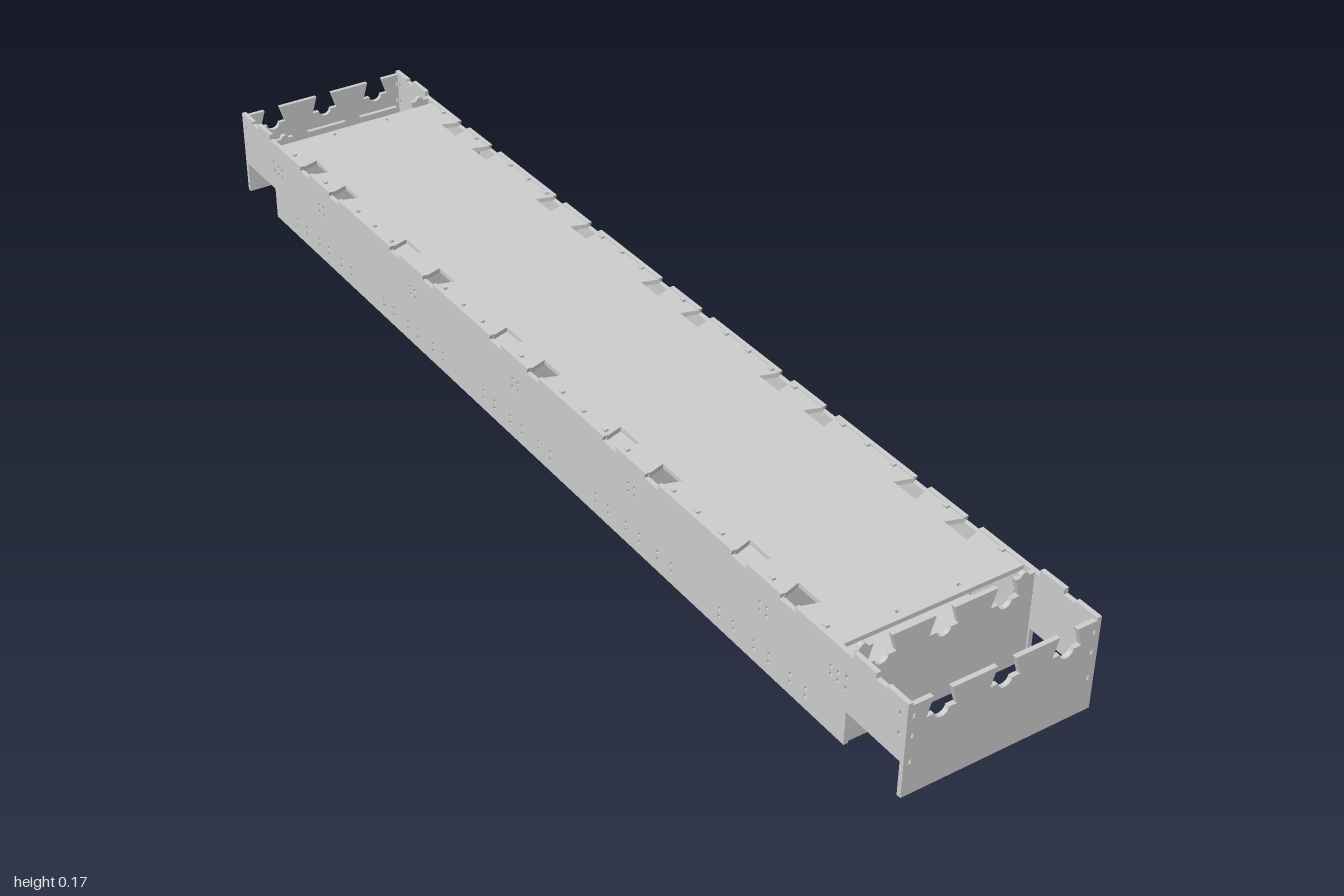
import * as THREE from 'three';
import { mergeGeometries } from 'three/addons/utils/BufferGeometryUtils.js';

const T = 0.008;            // sheet thickness
const W = 0.169;            // half width
const TOP = 0.16;
const SLOTS = [-0.74, -0.627, -0.4, -0.284, -0.061, 0.056, 0.279, 0.395, 0.618, 0.735];
const RIBS = [-0.68, -0.34, 0, 0.34, 0.68];

const mat = new THREE.MeshStandardMaterial({ color: 0xcccccc, flatShading: true, side: THREE.DoubleSide });

// Dovetail notch as [along, depth] pairs, running from + to -
function notch(c, round) {
  const pts = [[c + 0.016, 0], [c + 0.026, -0.032]];
  if (round) {
    for (let i = 0; i <= 10; i++) {
      const a = Math.PI * i / 10;
      pts.push([c + 0.0125 * Math.cos(a), -0.032 - 0.0115 * Math.sin(a)]);
    }
  }
  pts.push([c - 0.026, -0.032], [c - 0.016, 0]);
  return pts;
}

// Half-round bump on a top edge
function bump(c) {
  return Array.from({ length: 9 }, (_, i) => {
    const a = Math.PI * i / 8;
    return [c + 0.007 * Math.cos(a), 0.007 * Math.sin(a)];
  });
}

const toShape = pts => new THREE.Shape(pts.map(p => new THREE.Vector2(p[0], p[1])));

function slit(shape, x, y, w, h) {
  shape.holes.push(new THREE.Path([
    new THREE.Vector2(x - w / 2, y - h / 2), new THREE.Vector2(x - w / 2, y + h / 2),
    new THREE.Vector2(x + w / 2, y + h / 2), new THREE.Vector2(x + w / 2, y - h / 2)]));
}

const sheet = shape => new THREE.ExtrudeGeometry(shape, { depth: T, bevelEnabled: false, curveSegments: 8 });

function add(group, name, geometry, x = 0, y = 0, z = 0) {
  const mesh = new THREE.Mesh(geometry, mat);
  mesh.name = name;
  mesh.position.set(x, y, z);
  group.add(mesh);
  return mesh;
}

// Cross panel with three dovetail notches along its top
function crossPanel(half, bumps) {
  const edge = [];
  if (bumps) edge.push(...bump(0.143));
  for (const c of [0.11, 0, -0.11]) edge.push(...notch(c, true));
  if (bumps) edge.push(...bump(-0.143));
  return toShape([[-half, 0], [half, 0], [half, TOP],
    ...edge.map(([s, d]) => [s, TOP + d]), [-half, TOP]]);
}

// Long side wall, drawn in z and y
function sideShape() {
  const pts = [[-1, 0.06], [-0.875, 0.06], [-0.875, 0], [0.875, 0], [0.875, 0.06], [1, 0.06]];
  pts.push([1, 0.165], [0.955, 0.165], [0.955, TOP], [0.932, TOP], [0.932, 0.17], [0.882, 0.17], [0.882, TOP]);
  for (const c of [...SLOTS].reverse()) {
    pts.push([c + 0.016, TOP], [c + 0.019, TOP - 0.009], [c - 0.019, TOP - 0.009], [c - 0.016, TOP]);
  }
  pts.push([-0.882, TOP], [-0.882, 0.17], [-0.932, 0.17], [-0.932, TOP], [-0.955, TOP], [-0.955, 0.165], [-1, 0.165]);
  const shape = toShape(pts);
  // Floor fastening holes
  for (const bay of [-0.68, -0.345, 0, 0.345, 0.68]) {
    for (const off of [-0.087, 0, 0.087]) {
      for (const dz of [-0.018, 0.018]) {
        for (const y of [0.023, 0.037]) slit(shape, bay + off + dz, y, 0.006, 0.006);
      }
    }
  }
  // Rib and end panel fastening holes
  for (const z of [...RIBS, -0.845, 0.845]) {
    for (const dz of [-0.008, 0.008]) {
      for (const y of [0.1, 0.115]) slit(shape, z + dz, y, 0.006, 0.006);
    }
  }
  for (const s of [-1, 1]) {
    for (const y of [0.105, 0.14]) slit(shape, s * 0.985, y, 0.005, 0.008);
    for (const y of [0.1, 0.12]) slit(shape, s * 0.871, y, 0.005, 0.008);
  }
  return shape;
}

// Deck drawn in x and z, notched on both long edges
function deckShape() {
  const h = W - T, zb = -0.854, zf = 0.849;
  const pts = [[-h, zb], [h, zb]];
  for (const c of SLOTS) pts.push(...notch(c, false).reverse().map(([s, d]) => [h + d + 0.002, s]));
  pts.push([h, zf], [-h, zf]);
  for (const c of [...SLOTS].reverse()) pts.push(...notch(c, false).map(([s, d]) => [-h - d - 0.002, s]));
  const shape = toShape(pts);
  for (const z of [zb + 0.015, zf - 0.015]) {
    for (const x of [-0.055, 0.055]) slit(shape, x, z, 0.006, 0.006);
  }
  return shape;
}

export function createModel() {
  const model = new THREE.Group();
  model.name = 'plankBox';

  // Long side walls
  const side = sheet(sideShape()).rotateY(-Math.PI / 2);
  add(model, 'leftSideWall', side, W);
  add(model, 'rightSideWall', side, -W + T);

  // Outer end panels with fastening slits
  const end = crossPanel(W, false);
  for (const s of [-1, 1]) {
    for (const y of [0.06, 0.106, 0.141]) slit(end, s * 0.158, y, 0.004, 0.008);
  }
  const endGeo = sheet(end);
  add(model, 'frontEndPanel', endGeo, 0, 0, 1 - T);
  add(model, 'backEndPanel', endGeo, 0, 0, -1);

  // Inner end panels
  const inner = sheet(crossPanel(W - T, true));
  add(model, 'frontInnerPanel', inner, 0, 0, 0.864);
  add(model, 'backInnerPanel', inner, 0, 0, -0.879);

  // Deck and floor
  add(model, 'deck', sheet(deckShape()).rotateX(Math.PI / 2), 0, 0.158, 0);
  add(model, 'floor', new THREE.BoxGeometry(2 * (W - T), T, 1.703), 0, 0.03, -0.0025);

  // Cross ribs between floor and deck
  const rib = new THREE.BoxGeometry(2 * (W - T), 0.116, T);
  for (const z of RIBS) add(model, 'crossRib', rib, 0, 0.092, z);

  // Small pegs joining the deck to the side walls
  const pegs = [];
  for (let i = -13; i <= 13; i++) {
    const z = i * 0.062;
    if (SLOTS.some(c => Math.abs(c - z) < 0.03)) continue;
    for (const s of [-1, 1]) {
      pegs.push(new THREE.BoxGeometry(0.007, 0.006, 0.009).translate(s * 0.157, 0.159, z));
    }
  }
  add(model, 'deckPegs', mergeGeometries(pegs));

  return model;
}
